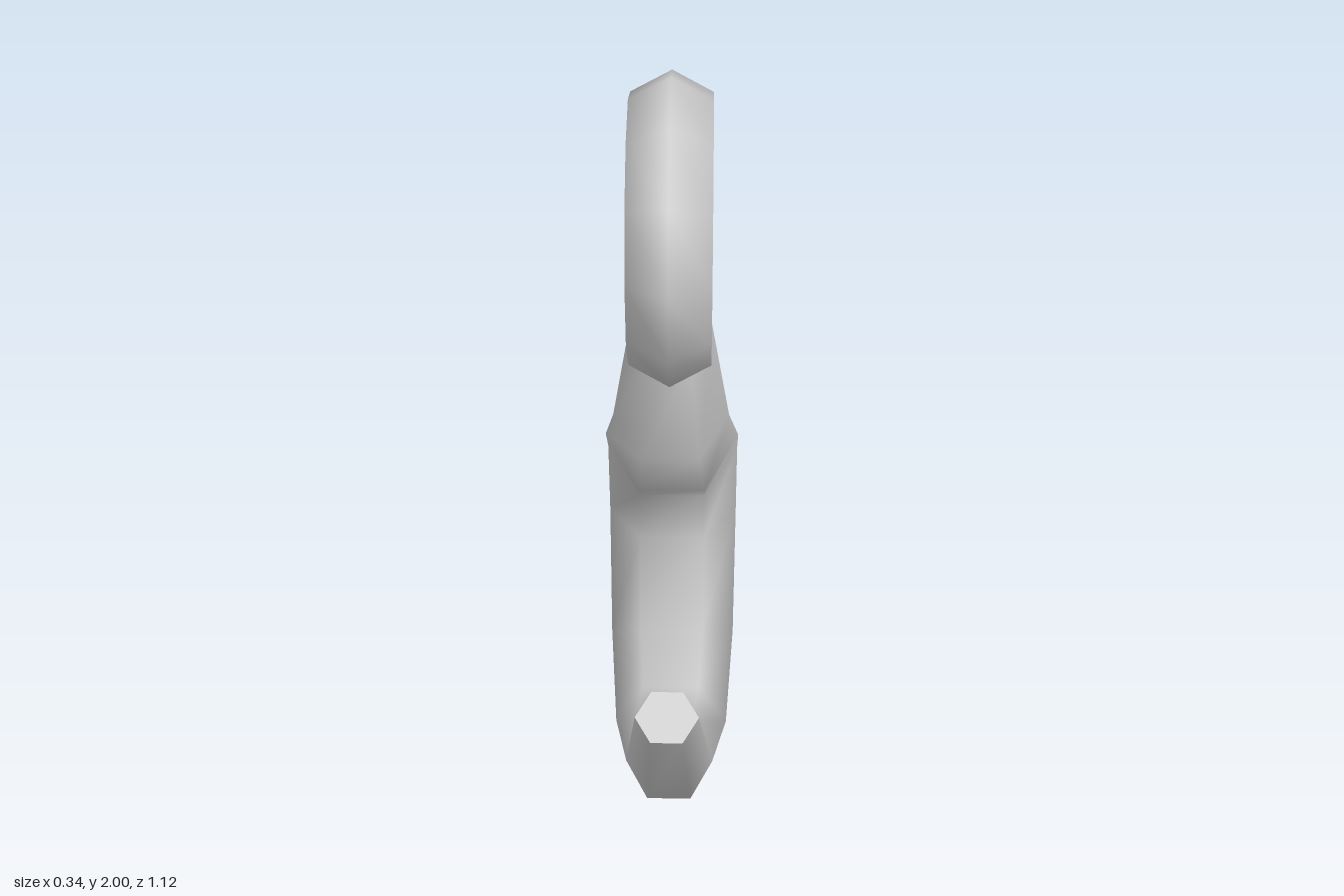
import * as THREE from 'three';

const SIDES = 6;

// Hexagonal sections from tip to neck: inner z, y, outer z, y, half width, lift of the side corners
const SECTIONS = [
  [0.445, 0.635, 0.56, 0.57, 0.077, 0],
  [0.135, 0.305, 0.245, 0.145, 0.112, 0],
  [-0.085, 0.26, -0.12, 0.005, 0.15, 0],
  [-0.205, 0.365, -0.44, 0.2, 0.168, 0],
  [-0.26, 0.625, -0.557, 0.62, 0.172, 0],
  [-0.225, 0.78, -0.485, 0.93, 0.172, 0],
  [-0.13, 0.855, -0.335, 1.07, 0.172, 0],
  [0.0, 1.025, -0.23, 1.15, 0.146, 0],
  [0.015, 1.305, -0.17, 1.305, 0.1, 0.06],
];

function sectionCorners([iz, iy, oz, oy, halfWidth, lift]) {
  const corners = [];
  for (let k = 0; k < SIDES; k++) {
    const a = (k / SIDES) * Math.PI * 2;
    const s = Math.sin(a) / Math.sin(Math.PI / 3); // -1 inner flat, +1 outer flat
    const t = (s + 1) / 2;
    corners.push([
      halfWidth * Math.cos(a),
      iy + (oy - iy) * t + lift * (1 - Math.abs(s)),
      iz + (oz - iz) * t,
    ]);
  }
  return corners;
}

function hookGeometry() {
  const rings = SECTIONS.map(sectionCorners);
  const positions = rings.flat(2);
  const index = [];
  for (let i = 0; i < rings.length - 1; i++) {
    for (let k = 0; k < SIDES; k++) {
      const n = (k + 1) % SIDES;
      const a = i * SIDES + k, b = i * SIDES + n;
      index.push(a, b, b + SIDES, a, b + SIDES, a + SIDES);
    }
  }
  // End caps have their own corners so their rims stay sharp
  const addCap = (ring, flip) => {
    const start = positions.length / 3;
    positions.push(...ring.flat());
    for (let k = 1; k < SIDES - 1; k++) {
      index.push(start, start + (flip ? k + 1 : k), start + (flip ? k : k + 1));
    }
  };
  addCap(rings[0], true);
  addCap(rings[rings.length - 1], false);

  const geometry = new THREE.BufferGeometry();
  geometry.setAttribute('position', new THREE.Float32BufferAttribute(positions, 3));
  geometry.setIndex(index);
  geometry.computeVertexNormals();
  return geometry;
}

export function createModel() {
  const group = new THREE.Group();
  group.name = 'hookWithRing';
  const material = new THREE.MeshStandardMaterial({ color: 0xcccccc });

  // Curved hook, thick at the back and tapering to the tip
  const hook = new THREE.Mesh(hookGeometry(), material);
  hook.name = 'hook';
  group.add(hook);

  // Hanging ring in the plane of the hook
  const ringGeometry = new THREE.TorusGeometry(0.272, 0.105, SIDES, 12);
  ringGeometry.scale(1, 1, 1.09);
  ringGeometry.rotateY(Math.PI / 2);
  const ring = new THREE.Mesh(ringGeometry, material);
  ring.name = 'ring';
  ring.position.set(0, 1.623, -0.063);
  group.add(ring);

  return group;
}
